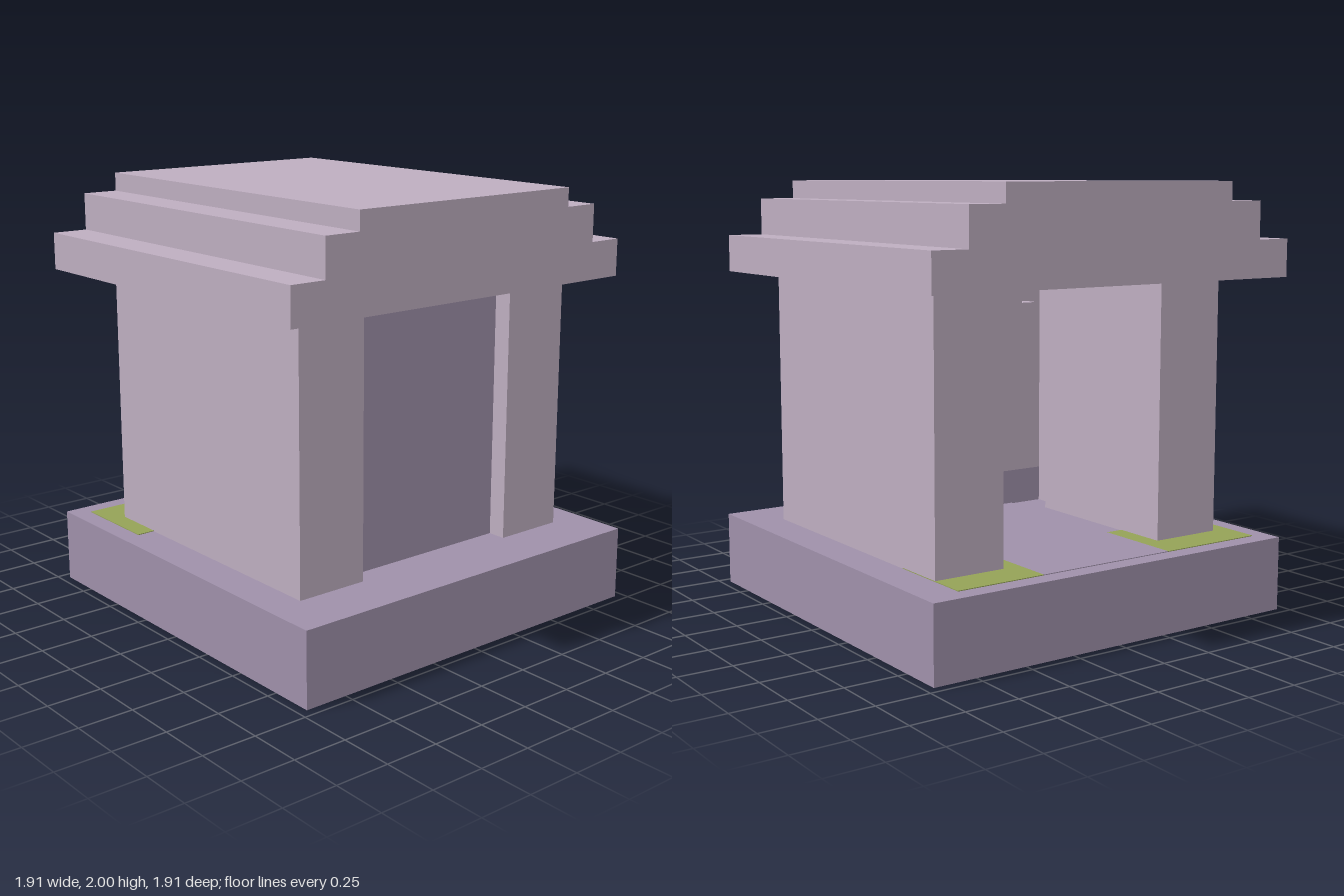
import * as THREE from 'three';

const U = 2 / 23; // one block of the modelling grid

function material(name, color) {
  const m = new THREE.MeshStandardMaterial({ color });
  m.name = name;
  return m;
}

export function createModel() {
  const group = new THREE.Group();
  const paleStone = material('paleStone', 0xbeaec0);
  const darkStone = material('darkStone', 0x9f90aa);
  const moss = material('moss', 0x94a257);

  function add(name, geometry, mat) {
    const mesh = new THREE.Mesh(geometry, mat);
    mesh.name = name;
    group.add(mesh);
    return mesh;
  }

  // Box from its limits, in blocks
  function box(name, mat, [x0, x1], [y0, y1], [z0, z1]) {
    const g = new THREE.BoxGeometry((x1 - x0) * U, (y1 - y0) * U, (z1 - z0) * U);
    g.translate((x0 + x1) / 2 * U, (y0 + y1) / 2 * U, (z0 + z1) / 2 * U);
    return add(name, g, mat);
  }

  // Extrusion of a block outline along +z
  function prism(points, depth) {
    const shape = new THREE.Shape(points.map(([x, y]) => new THREE.Vector2(x * U, y * U)));
    return new THREE.ExtrudeGeometry(shape, { depth: depth * U, bevelEnabled: false });
  }

  // Base slab
  box('base', darkStone, [-11, 11], [0, 4], [-11, 11]);

  // Side walls, with a shallow pocket around the inner chamber
  const plan = [[5, -8], [9, -8], [9, 8], [5, 8], [5, 5], [6, 5], [6, 2], [5, 2]];
  for (const side of [-1, 1]) {
    const wall = prism(plan.map(([x, z]) => [side * x, -z]), 14);
    wall.rotateX(-Math.PI / 2).translate(0, 4 * U, 0);
    add(side > 0 ? 'leftWall' : 'rightWall', wall, paleStone);
  }

  // Recessed front panel and the back of the chamber
  box('frontPanel', darkStone, [-5, 5], [4, 18], [5, 7]);
  box('chamberPlinth', darkStone, [-6, 6], [4, 6], [4, 5]);
  box('chamberBackWall', paleStone, [-6, 6], [6, 18], [4, 5]);

  // Stepped relief on the chamber wall
  const relief = prism([
    [-4, 7], [4, 7], [4, 8], [5, 8], [5, 16], [4, 16],
    [4, 17], [-4, 17], [-4, 16], [-5, 16], [-5, 8], [-4, 8],
  ], 1);
  relief.translate(0, 0, 3 * U);
  add('chamberRelief', relief, paleStone);

  // Stepped roof
  const roof = prism([
    [-11, 18], [11, 18], [11, 20], [9, 20], [9, 22], [7, 22],
    [7, 23], [-7, 23], [-7, 22], [-9, 22], [-9, 20], [-11, 20],
  ], 21);
  roof.translate(0, 0, -11 * U);
  add('roof', roof, paleStone);

  // Thin floor plates at the rear entrance
  box('entrancePath', darkStone, [-4, 4], [4, 4.04], [-10, 4]);
  box('leftMoss', moss, [4, 9], [4, 4.04], [-10, -5]);
  box('rightMoss', moss, [-10, -4], [4, 4.04], [-10, -5]);

  return group;
}
